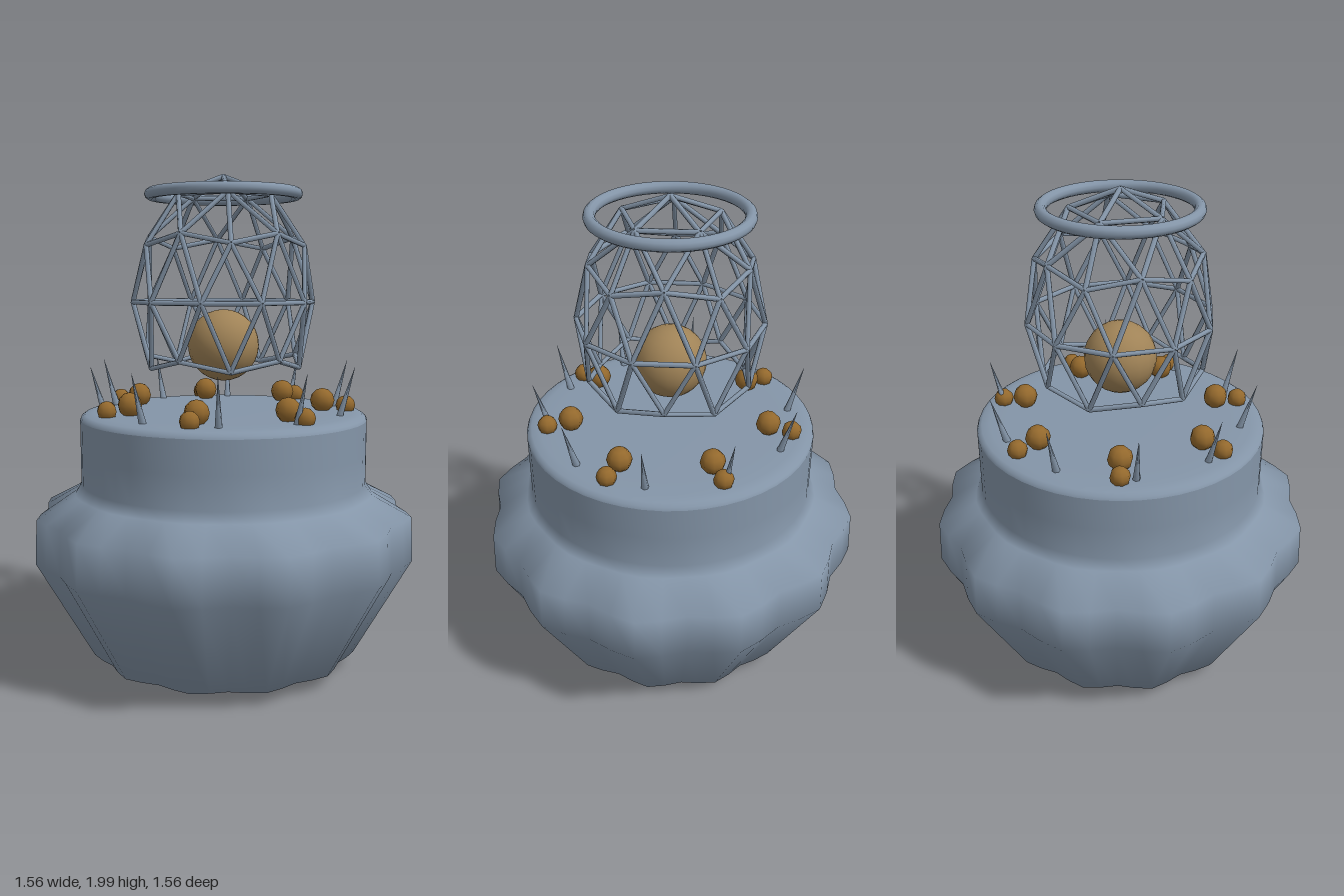
import * as THREE from 'three';
import { mergeVertices, mergeGeometries } from 'three/addons/utils/BufferGeometryUtils.js';

const V2 = (x, y) => new THREE.Vector2(x, y);
const rad = THREE.MathUtils.degToRad;

// Place a point by azimuth (from +x towards +z), radius and height
const polar = (deg, r, y) => new THREE.Vector3(r * Math.cos(rad(deg)), y, r * Math.sin(rad(deg)));

// Tapered round bar between two points
function bar(a, b, r0, r1, sides) {
  const dir = b.clone().sub(a);
  const g = new THREE.CylinderGeometry(r1, r0, dir.length(), sides);
  g.applyQuaternion(new THREE.Quaternion().setFromUnitVectors(new THREE.Vector3(0, 1, 0), dir.normalize()));
  const mid = a.clone().add(b).multiplyScalar(0.5);
  return g.translate(mid.x, mid.y, mid.z);
}

// Turned body with twelve lobes that fade out at the neck
function lobedBody() {
  const profile = [V2(0, 0.01), V2(0.535, 0.065), V2(0.757, 0.47), V2(0.75, 0.648),
    V2(0.61, 0.73), V2(0.585, 0.77), V2(0.585, 0.9), V2(0.585, 1.03)];
  let g = new THREE.LatheGeometry(profile, 48);
  const p = g.attributes.position;
  for (let i = 0; i < p.count; i++) {
    const x = p.getX(i), y = p.getY(i), z = p.getZ(i);
    const fade = 1 - THREE.MathUtils.smoothstep(y, 0.64, 0.77);
    const k = 1 + 0.03 * fade * Math.cos(12 * Math.atan2(x, z));
    p.setXYZ(i, x * k, y, z * k);
  }
  g.deleteAttribute('uv');
  g.deleteAttribute('normal');
  g = mergeVertices(g, 1e-4);
  g.computeVertexNormals();
  return g;
}

// Struts of a pole-up geodesic dome, open below its lower ring
function domeStruts() {
  const pts = [new THREE.Vector3(0, 1, 0)];
  const ring = (n, start, y) => {
    for (let i = 0; i < n; i++) pts.push(polar(start + i * 360 / n, Math.sqrt(1 - y * y), y));
  };
  ring(5, 0, 0.8507);
  ring(5, 0, 0.4472);
  ring(5, 36, 0.5257);
  ring(10, 18, 0);
  ring(5, 36, -0.4472);
  ring(5, 0, -0.5257);
  const place = v => new THREE.Vector3(v.x * 0.365, 1.5 + v.y * 0.495, v.z * 0.365);
  const struts = [];
  pts.forEach((a, i) => pts.slice(i + 1).forEach(b => {
    if (a.distanceTo(b) < 0.65) struts.push(bar(place(a), place(b), 0.01, 0.01, 6));
  }));
  return mergeGeometries(struts);
}

export function createModel() {
  const model = new THREE.Group();
  const mat = (name, color) => {
    const m = new THREE.MeshStandardMaterial({ color });
    m.name = name;
    return m;
  };
  const slate = mat('slate', 0x8495a8);
  const amber = mat('amber', 0x94692d);
  const sand = mat('sand', 0xa08357);
  const add = (name, geometry, material, parent = model) => {
    const mesh = new THREE.Mesh(geometry, material);
    mesh.name = name;
    parent.add(mesh);
    return mesh;
  };
  const group = name => {
    const g = new THREE.Group();
    g.name = name;
    model.add(g);
    return g;
  };

  add('body', lobedBody(), slate);

  // Shallow lid with a rounded edge
  add('lid', new THREE.LatheGeometry([V2(0.585, 1.03), V2(0.58, 1.042), V2(0.565, 1.052),
    V2(0.53, 1.058), V2(0.45, 1.06), V2(0, 1.06)], 48), slate);

  // Ten thin spikes leaning outward
  const spikes = group('spikes');
  for (let i = 0; i < 10; i++) {
    const a = 7 + i * 36;
    add('spike', bar(polar(a, 0.485, 1.045), polar(a, 0.545, 1.25), 0.016, 0.0005, 6), slate, spikes);
  }

  // Seven pairs of bulbs
  const bulbs = group('bulbs');
  for (let i = 0; i < 7; i++) {
    const a = 39.7 + i * 360 / 7;
    add('largeBulb', new THREE.SphereGeometry(0.05, 8, 6), amber, bulbs).position.copy(polar(a, 0.405, 1.1));
    add('smallBulb', new THREE.SphereGeometry(0.04, 8, 6), amber, bulbs).position.copy(polar(a, 0.5, 1.08));
  }

  // Core, cage and crown ring
  add('core', new THREE.SphereGeometry(0.145, 20, 14), sand).position.y = 1.325;
  add('cage', domeStruts(), slate);
  const crown = add('crownRing', new THREE.TorusGeometry(0.293, 0.023, 10, 48), slate);
  crown.rotation.x = Math.PI / 2;
  crown.position.y = 1.925;

  return model;
}
